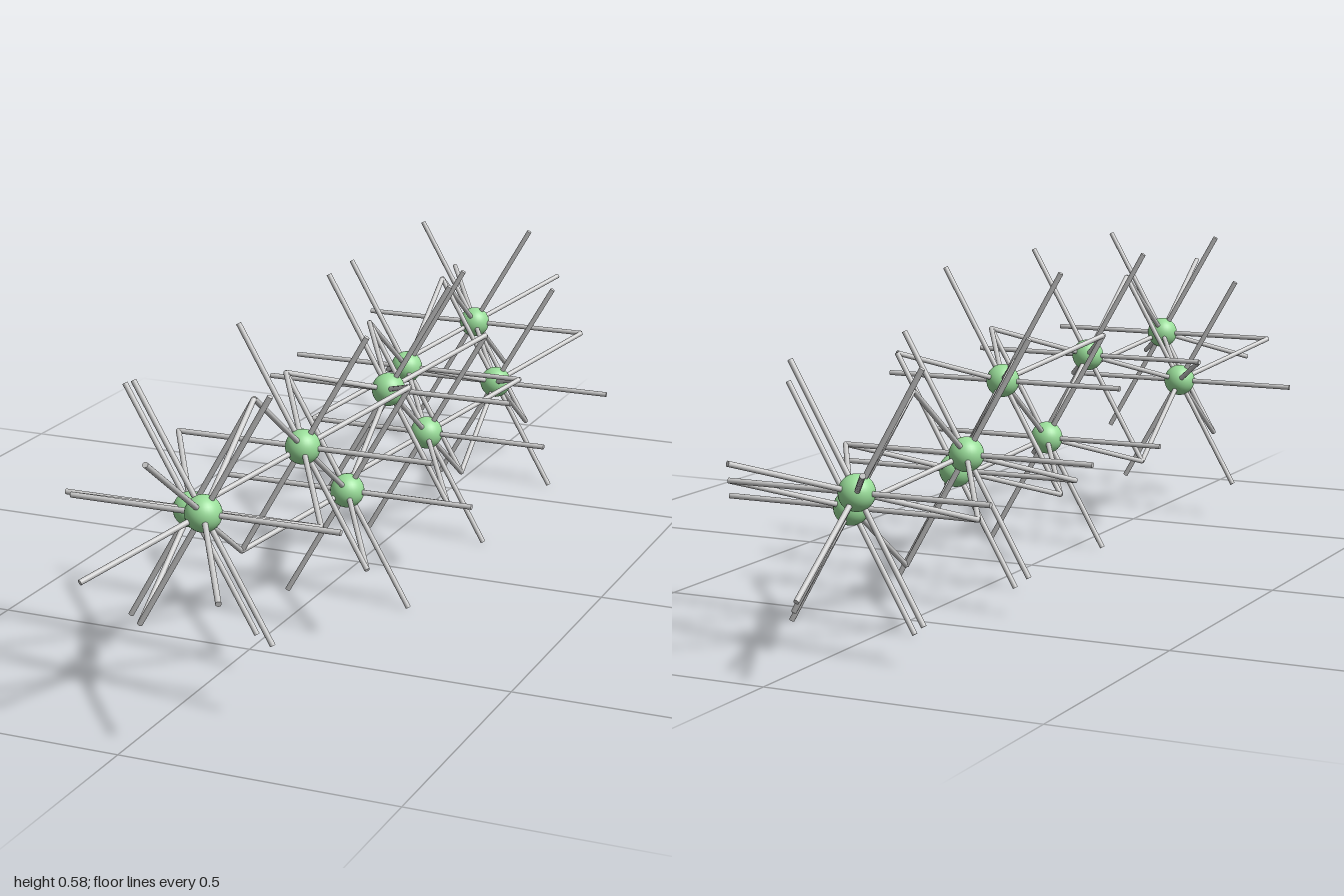
import * as THREE from 'three';

// Nine-layer close-packed stack: one ball per layer, each with twelve rods to its neighbours.
const A = 0.248;             // spacing inside a layer
const DZ = 0.1994;           // spacing between layers
const ROD_R = 0.005;
const BALL_R = 0.032;
const STACK = 'ABACACBCB';   // from front to back

const H = A / Math.sqrt(3);  // sideways shift between layers
const SITES = {
  A: [A / 4, 0.2889 + H / 2],
  B: [-A / 4, 0.2889],
  C: [A / 4, 0.2889 - H / 2],
};

const ballMaterial = new THREE.MeshStandardMaterial({ color: 0x99dd99 });
const rodMaterial = new THREE.MeshStandardMaterial({ color: 0xcccccc });
const ballGeometry = new THREE.SphereGeometry(BALL_R, 32, 20);
const UP = new THREE.Vector3(0, 1, 0);

function rod(from, to, name) {
  const dir = to.clone().sub(from);
  const geometry = new THREE.CylinderGeometry(ROD_R, ROD_R, dir.length(), 16);
  const mesh = new THREE.Mesh(geometry, rodMaterial);
  mesh.position.copy(from).add(to).multiplyScalar(0.5);
  mesh.quaternion.setFromUnitVectors(UP, dir.normalize());
  mesh.name = name;
  return mesh;
}

// Offsets at equal angles around a ball, in the x-y plane
function spokes(count, radius, startAngle, dz) {
  return Array.from({ length: count }, (_, i) => {
    const t = startAngle + (i * 2 * Math.PI) / count;
    return new THREE.Vector3(radius * Math.cos(t), radius * Math.sin(t), dz);
  });
}

export function createModel() {
  const model = new THREE.Group();
  model.name = 'crystalStack';
  const n = STACK.length;
  const siteAt = (i) => SITES[STACK[(i + n) % n]];

  for (let i = 0; i < n; i++) {
    const layer = new THREE.Group();
    layer.name = `layer${i + 1}`;
    const [x, y] = siteAt(i);
    const centre = new THREE.Vector3(x, y, ((n - 1) / 2 - i) * DZ);

    const ball = new THREE.Mesh(ballGeometry, ballMaterial);
    ball.name = 'ball';
    ball.position.copy(centre);
    layer.add(ball);

    // Six rods within the layer
    for (const s of spokes(6, A, 0, 0)) {
      layer.add(rod(centre, centre.clone().add(s), 'layerRod'));
    }

    // Three slanted rods to each adjacent layer; the stack order repeats past its ends
    for (const step of [-1, 1]) {
      const [nx, ny] = siteAt(i + step);
      const angle = Math.atan2(ny - y, nx - x);
      spokes(3, H, angle, -step * DZ).forEach((s, k) => {
        // The first rod meets the neighbouring ball, so the previous layer already has it
        if (k === 0 && step === -1 && i > 0) return;
        layer.add(rod(centre, centre.clone().add(s), 'slantedRod'));
      });
    }
    model.add(layer);
  }
  return model;
}
